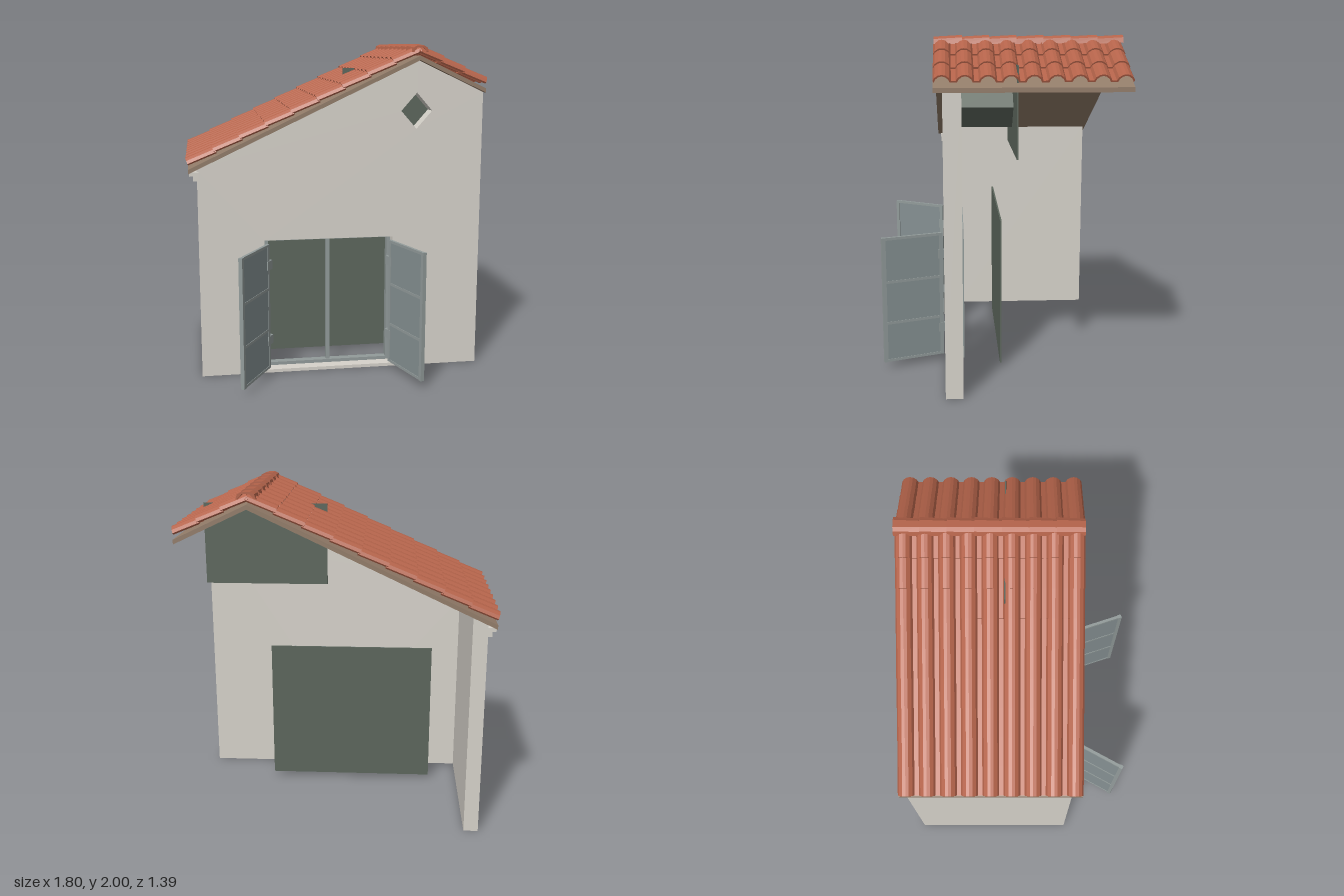
import * as THREE from 'three';

const mat = (name, color, side = THREE.FrontSide) => {
  const m = new THREE.MeshStandardMaterial({ color, side });
  m.name = name;
  return m;
};

export function createModel() {
  const root = new THREE.Group();
  root.name = 'gableHouseFront';
  const plaster = mat('plaster', 0xd6d2ca);
  const tile = mat('terracotta', 0xb4634a);
  const board = mat('roofBoard', 0x927c69);
  const dark = mat('darkGreen', 0x5c665c);
  const frameMat = mat('frameGrey', 0x929b9a);
  const panelMat = mat('shutterGrey', 0x859092);

  const add = (parent, name, geo, m) => {
    const mesh = new THREE.Mesh(geo, m);
    mesh.name = name;
    parent.add(mesh);
    return mesh;
  };
  // box given by its min and max on each axis
  const box = (parent, name, m, x0, x1, y0, y1, z0, z1) => {
    const b = add(parent, name, new THREE.BoxGeometry(x1 - x0, y1 - y0, z1 - z0), m);
    b.position.set((x0 + x1) / 2, (y0 + y1) / 2, (z0 + z1) / 2);
    return b;
  };
  const pts = (a) => a.map(([x, y]) => new THREE.Vector2(x, y));
  const extrude = (shape, depth) => new THREE.ExtrudeGeometry(shape, { depth, bevelEnabled: false });

  const ridgeX = 0.48, slope = 0.473, under = 1.905;
  const roofY = (x, top) => top - Math.abs(x - ridgeX) * slope;
  const L = -0.89, R = 0.887, Z0 = -0.695, Z1 = 0.366;

  // Front gable wall with window opening and diamond vent
  const diamond = (w, h) => pts([[0.475 - w, 1.605], [0.475, 1.605 - h], [0.475 + w, 1.605], [0.475, 1.605 + h]]);
  const wall = new THREE.Shape(pts([[-0.84, 0], [0.885, 0], [0.885, roofY(0.885, under)],
    [ridgeX, under], [-0.84, roofY(-0.84, under)]]));
  wall.holes.push(new THREE.Path(pts([[-0.45, 0.02], [-0.45, 0.838], [0.337, 0.838], [0.337, 0.02]])));
  wall.holes.push(new THREE.Path(diamond(0.095, 0.108)));
  add(root, 'frontWall', extrude(wall, 0.1), plaster).position.z = 0.218;

  // Side wall, its top cut to the roof pitch
  const side = new THREE.Shape(pts([[-0.84, 0], [-0.755, 0], [-0.755, roofY(-0.755, under)], [-0.84, roofY(-0.84, under)]]));
  add(root, 'sideWall', extrude(side, 0.898), plaster).position.z = -0.68;

  // Stepped cornice under the low eave
  box(root, 'corniceLower', plaster, -0.863, -0.83, 1.212, 1.25, -0.68, 0.345);
  box(root, 'corniceUpper', plaster, -0.885, -0.83, 1.24, 1.264, -0.68, 0.345);

  // Roof board
  const t = 0.026;
  const slab = new THREE.Shape(pts([[L, roofY(L, under)], [ridgeX, under], [R, roofY(R, under)],
    [R, roofY(R, under + t)], [ridgeX, under + t], [L, roofY(L, under + t)]]));
  add(root, 'roofBoard', extrude(slab, Z1 - Z0), board).position.z = Z0;

  // Tile cross-section: nine rolls joined by narrow pans, with thickness
  const roll = [[0, 0.002], [0.01, 0.02], [0.03, 0.034], [0.048, 0.037], [0.066, 0.034], [0.086, 0.02], [0.096, 0.002]];
  const pitch = 0.1205, thick = 0.009;
  const upper = [], lower = [];
  for (let i = 0; i < 9; i++) {
    for (const [u, h] of roll) {
      const z = Z0 + 0.002 + i * pitch + u;
      upper.push([z, h + thick * 0.5]);
      lower.push([0.048 + (u - 0.048) * 0.86 + z - u, Math.max(h - thick * 0.5, -0.003)]);
    }
  }
  const profile = [...upper, ...lower.reverse()];
  const ang = Math.atan(slope), c = Math.cos(ang), s = Math.sin(ang);

  const tileSlope = (name, dir, run, rows) => {
    const g = new THREE.Group();
    g.name = name;
    const down = new THREE.Vector3(dir * c, -s, 0), normal = new THREE.Vector3(dir * s, c, 0);
    const across = new THREE.Vector3(0, 0, -dir);
    g.quaternion.setFromRotationMatrix(new THREE.Matrix4().makeBasis(across, normal, down));
    g.position.set(ridgeX, 1.948, 0);
    const len = run / c / rows;
    const shape = new THREE.Shape(pts(profile.map(([z, h]) => [-dir * z, h])));
    const geo = extrude(shape, len + 0.012);
    for (let i = 0; i < rows; i++) {
      const row = add(g, 'tileRow', geo, tile);
      row.position.z = i * len - 0.012;
      row.rotation.x = -Math.atan(0.009 / len); // lower edge laps over the next row
    }
    root.add(g);
  };
  tileSlope('longTileSlope', -1, 1.365, 9);
  tileSlope('shortTileSlope', 1, 0.4, 3);

  // Ridge caps, each tapering toward one end
  const cap = new THREE.Shape(pts([[-0.056, -0.04], [-0.046, -0.012], [-0.022, 0], [0.022, 0], [0.046, -0.012],
    [0.056, -0.04], [0.046, -0.04], [0.02, -0.012], [-0.02, -0.012], [-0.046, -0.04]]));
  const capLen = (Z1 - Z0) / 7;
  const capGeo = extrude(cap, capLen + 0.008);
  const cp = capGeo.attributes.position;
  for (let i = 0; i < cp.count; i++) {
    if (cp.getZ(i) > 0.01) cp.setXYZ(i, cp.getX(i) * 0.9, cp.getY(i) - 0.009, cp.getZ(i));
  }
  capGeo.computeVertexNormals();
  for (let i = 0; i < 7; i++) {
    add(root, 'ridgeCap', capGeo, tile).position.set(ridgeX, 2.0, Z0 + i * capLen - (i ? 0.008 : 0.003));
  }

  // Dark backing panels and diamond shaft behind the vent
  box(root, 'windowBacking', dark, -0.57, 0.46, 0.03, 0.92, -0.02, -0.011);
  box(root, 'ventBacking', dark, 0.09, 0.845, 1.35, 1.85, -0.085, -0.077);
  const dp = diamond(0.115, 0.125), shaft = [];
  dp.forEach((a, i) => {
    const b = dp[(i + 1) % 4];
    const q = [[a.x, a.y, 0.218], [a.x, a.y, -0.08], [b.x, b.y, -0.08], [b.x, b.y, 0.218]];
    for (const k of [0, 1, 2, 0, 2, 3]) shaft.push(...q[k]);
  });
  const shaftGeo = new THREE.BufferGeometry();
  shaftGeo.setAttribute('position', new THREE.Float32BufferAttribute(shaft, 3));
  shaftGeo.computeVertexNormals();
  add(root, 'ventShaft', shaftGeo, dark);

  // Window frame
  const frame = new THREE.Group();
  frame.name = 'windowFrame';
  root.add(frame);
  const outline = new THREE.Shape(pts([[-0.45, 0.015], [0.34, 0.015], [0.34, 0.845], [-0.45, 0.845]]));
  outline.holes.push(new THREE.Path(pts([[-0.424, 0.04], [-0.424, 0.82], [0.314, 0.82], [0.314, 0.04]])));
  add(frame, 'frameBorder', extrude(outline, 0.045), frameMat).position.z = 0.203;
  box(frame, 'mullion', frameMat, -0.066, -0.044, 0.03, 0.83, 0.205, 0.24);

  // Open shutters, built along local +x from the hinge
  const shutter = (name, hx, hz, ex, ez) => {
    const g = new THREE.Group();
    g.name = name;
    const w = Math.hypot(ex - hx, ez - hz), y0 = 0.042, y1 = 0.82, d = 0.009, b = 0.023;
    g.position.set(hx, 0, hz);
    g.rotation.y = Math.atan2(hz - ez, ex - hx);
    box(g, 'shutterPanel', panelMat, 0.01, w - 0.01, y0 + 0.01, y1 - 0.01, -0.006, 0.006);
    box(g, 'hingeStile', frameMat, 0, b, y0, y1, -d, d);
    box(g, 'outerStile', frameMat, w - b, w, y0, y1, -0.012, 0.012);
    for (const y of [y0, 0.28, 0.537, y1 - 0.016]) box(g, 'rail', frameMat, b, w - b, y, y + 0.016, -d, d);
    for (const y of [0.19, 0.66]) box(g, 'hinge', frameMat, -0.035, 0.03, y, y + 0.055, -0.011, 0.011);
    root.add(g);
  };
  shutter('rightShutter', -0.43, 0.333, -0.612, 0.66);
  shutter('leftShutter', 0.318, 0.333, 0.442, 0.692);

  return root;
}
